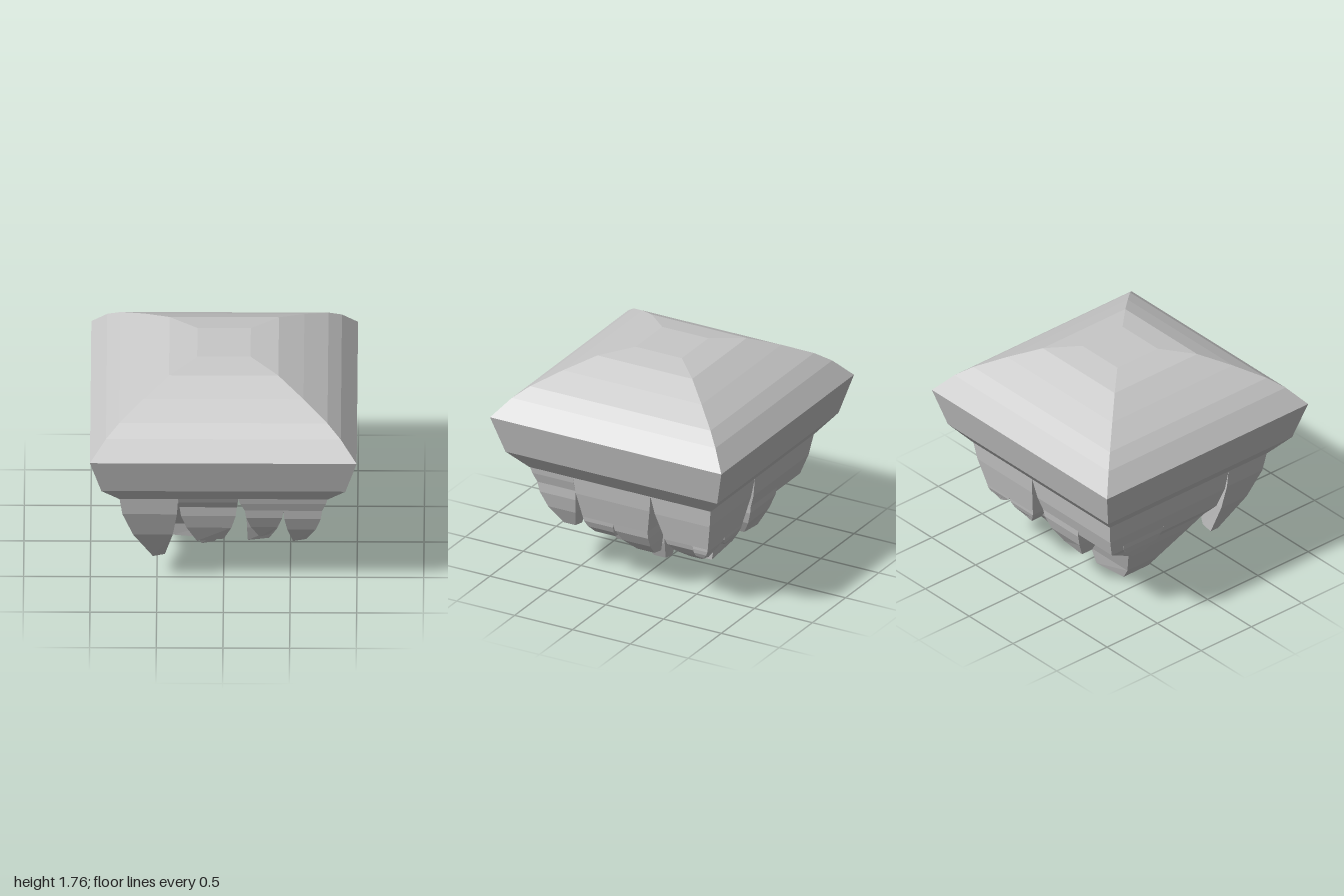
import * as THREE from 'three';

// Lofts through rectangles listed from top to bottom, each { y, r: [x0, x1, z0, z1], tilt }
function loft(rings, closeTop, closeBottom) {
  const pts = rings.map(({ y, r: [x0, x1, z0, z1], tilt = 0 }) => [
    [x0, y - tilt, z1], [x1, y + tilt, z1], [x1, y + tilt, z0], [x0, y - tilt, z0],
  ]);
  const pos = [];
  const quad = (a, b, c, d) => pos.push(...a, ...b, ...c, ...a, ...c, ...d);
  for (let i = 0; i < pts.length - 1; i++) {
    for (let k = 0; k < 4; k++) {
      const n = (k + 1) % 4;
      quad(pts[i + 1][k], pts[i + 1][n], pts[i][n], pts[i][k]);
    }
  }
  if (closeTop) quad(...pts[0]);
  if (closeBottom) quad(...pts[pts.length - 1].reverse());
  const g = new THREE.BufferGeometry();
  g.setAttribute('position', new THREE.Float32BufferAttribute(pos, 3));
  g.computeVertexNormals();
  return g;
}

const square = (y, h) => ({ y, r: [-h, h, -h, h] });
const mix = (a, b, f) => a.map((v, i) => v + (b[i] - v) * f);

// Rings of a spike that bulges near its root and narrows to a blunt, tilted tip
function spike(yTop, top, [x, z, y, w = 0.1, d = 0.1]) {
  const tip = [x - w / 2, x + w / 2, z - d / 2, z + d / 2];
  return [0, 0.23, 0.58, 1].map((t) => ({
    y: yTop + (y - yTop) * t,
    r: mix(top, tip, t ** 1.65),
    tilt: t === 1 ? 0.01 : 0,
  }));
}

export function createModel() {
  const group = new THREE.Group();
  const stone = new THREE.MeshStandardMaterial({ color: 0xc8c8c8, flatShading: true, side: THREE.DoubleSide });
  stone.name = 'grey stone';
  const add = (name, geometry) => {
    const mesh = new THREE.Mesh(geometry, stone);
    mesh.name = name;
    group.add(mesh);
  };

  // Square domed cap
  add('cap', loft([
    square(1.765, 0.2), square(1.73, 0.41), square(1.64, 0.6), square(1.54, 0.78),
    square(1.46, 0.88), square(1.32, 1), square(1.02, 0.915), square(0.87, 0.785),
  ], true, true));

  // A root narrows from the cap to height y, then splits at x and z into one spike per tip
  const root = (name, top, y, end, xSplit, zSplit, tips) => {
    const mid = { y: 0.87 + (y - 0.87) * 0.4, r: mix(top, end, 0.3) };
    add(name + 'Root', loft([{ y: 0.87, r: top }, mid, { y, r: end }], false, false));
    const xs = [end[0], ...xSplit, end[1]];
    const zs = [end[2], ...zSplit, end[3]];
    tips.forEach((tip, i) => {
      const a = i % (xs.length - 1);
      const b = Math.floor(i / (xs.length - 1));
      add(name + 'Spike', loft(spike(y, [xs[a], xs[a + 1], zs[b], zs[b + 1]], tip), false, true));
    });
  };

  // Tips: x, z, height, then width and depth where they differ from 0.1
  root('frontMiddle', [-0.34, 0.11, 0.4, 0.78], 0.75, [-0.33, 0.1, 0.4, 0.71], [], [0.56],
    [[-0.115, 0.34, 0.24], [-0.1, 0.53, 0.38, 0.2]]);
  root('frontLeft', [0.11, 0.78, 0.41, 0.78], 0.74, [0.16, 0.74, 0.41, 0.74], [0.45], [],
    [[0.305, 0.53, 0.42, 0.07], [0.57, 0.53, 0.38]]);
  root('side', [0.11, 0.78, -0.26, 0.41], 0.52, [0.17, 0.7, -0.19, 0.37], [0.45], [0.11],
    [[0.29, -0.09, 0.14], [0.475, -0.075, 0.26, 0.1, 0.15],
      [0.26, 0.2, 0.2, 0.16, 0.16], [0.54, 0.22, 0.37, 0.16, 0.17]]);
  root('backLeft', [0.11, 0.78, -0.78, -0.26], 0.5, [0.18, 0.7, -0.71, -0.34], [0.45], [-0.58],
    [[0.3, -0.61, 0.38], [0.635, -0.625, 0.4, 0.07, 0.07],
      [0.31, -0.395, 0.24], [0.5, -0.53, 0.32]]);

  // Single spikes: one under the cap and two beside the main root
  add('frontRightSpike', loft(spike(0.87, [-0.78, -0.34, 0.4, 0.78], [-0.485, 0.475, 0.2, 0.09, 0.07]), false, true));
  add('backMiddleSpike', loft(spike(0.6, [-0.34, 0.06, -0.715, -0.42], [-0.15, -0.545, 0.3, 0.2]), false, true));
  add('backRightSpike', loft(spike(0.6, [-0.725, -0.45, -0.6, -0.2], [-0.615, -0.385, 0.42, 0.09, 0.13]), false, true));

  // Deep main root reaching the ground
  add('mainRoot', loft([
    { y: 0.87, r: [-0.78, 0.11, -0.78, 0.4] },
    { y: 0.7, r: [-0.75, 0.08, -0.75, 0.39] },
    { y: 0.55, r: [-0.71, 0.05, -0.7, 0.34] },
    { y: 0.46, r: [-0.63, 0.03, -0.58, 0.28] },
    { y: 0.37, r: [-0.59, 0, -0.43, 0.18] },
    { y: 0.14, r: [-0.47, -0.06, -0.335, -0.03] },
    { y: 0.014, r: [-0.385, -0.075, -0.3, -0.05], tilt: -0.014 },
  ], false, true));

  return group;
}
